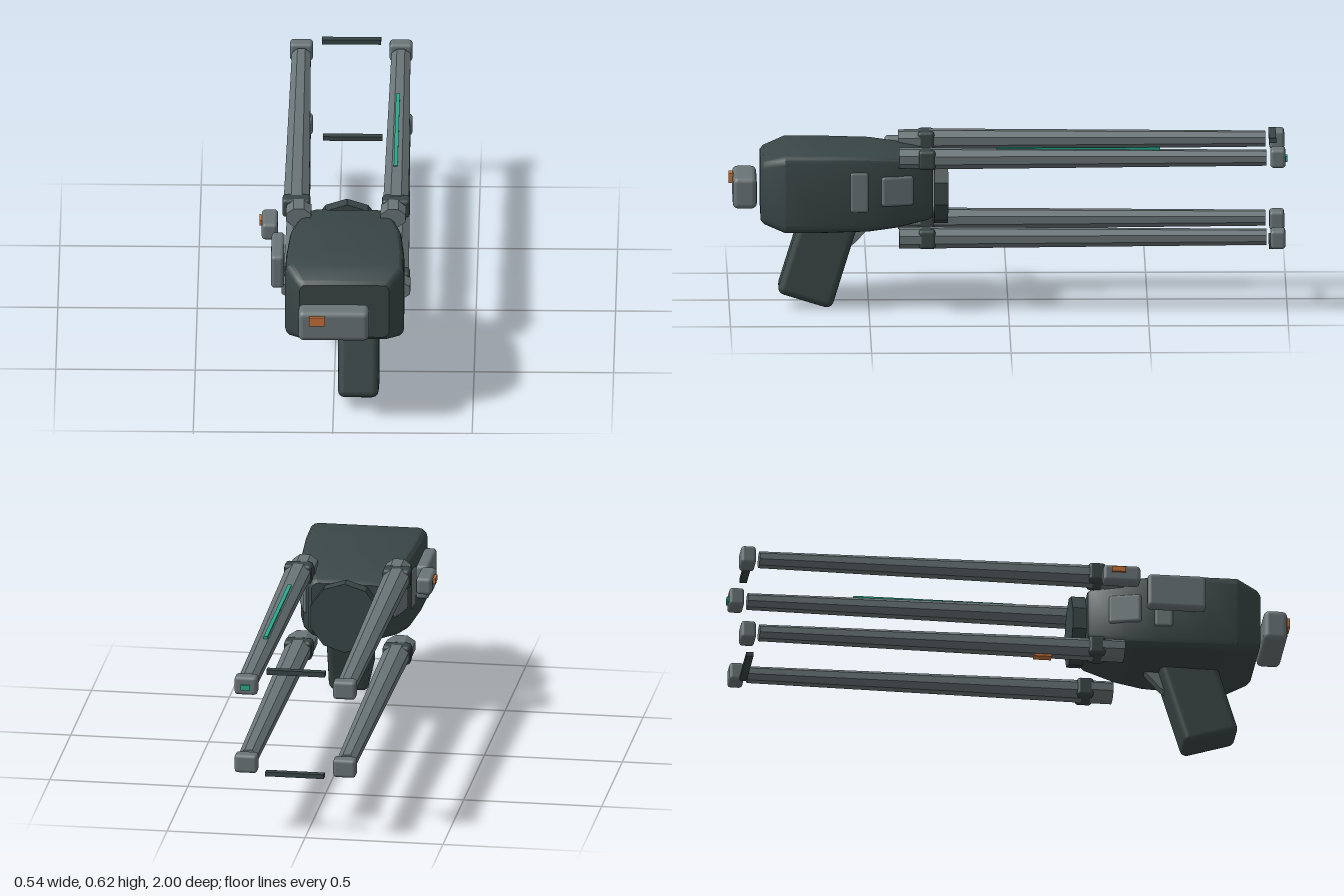
import * as THREE from 'three';
import { toCreasedNormals } from 'three/addons/utils/BufferGeometryUtils.js';
import { RoundedBoxGeometry } from 'three/addons/geometries/RoundedBoxGeometry.js';

const material = (name, color) => {
  const m = new THREE.MeshStandardMaterial({ color });
  m.name = name;
  return m;
};

// Rounded-rectangle outline, counter-clockwise, four points per corner
function outline(halfW, halfH, r) {
  const pts = [];
  for (let c = 0; c < 4; c++) {
    const sx = c === 0 || c === 3 ? 1 : -1;
    const sy = c < 2 ? 1 : -1;
    for (let k = 0; k < 4; k++) {
      const a = (c + k / 3) * Math.PI / 2;
      pts.push([sx * (halfW - r) + r * Math.cos(a), sy * (halfH - r) + r * Math.sin(a)]);
    }
  }
  return pts;
}

// Skin a list of [z, halfWidth, halfHeight, cornerRadius] sections, front to back
function loft(sections) {
  const pos = [], idx = [], n = 16;
  for (const [z, w, h, r] of sections) for (const [x, y] of outline(w, h, r)) pos.push(x, y, z);
  const last = sections.length - 1;
  for (let s = 0; s < last; s++) {
    for (let i = 0; i < n; i++) {
      const a = s * n + i, b = s * n + (i + 1) % n;
      idx.push(a, a + n, b, b, a + n, b + n);
    }
  }
  for (let i = 1; i < n - 1; i++) {
    idx.push(0, i, i + 1);
    idx.push(last * n, last * n + i + 1, last * n + i);
  }
  const g = new THREE.BufferGeometry();
  g.setAttribute('position', new THREE.Float32BufferAttribute(pos, 3));
  g.setIndex(idx);
  return toCreasedNormals(g, 0.5);
}

// Eight-sided bar along z with flat top, wide section w x h at the front
function octBar(w, h, length, taper = 1) {
  const r = 0.5 / Math.cos(Math.PI / 8);
  const g = new THREE.CylinderGeometry(r, r * taper, length, 8);
  g.rotateY(Math.PI / 8).rotateX(Math.PI / 2).scale(w, h, 1);
  return toCreasedNormals(g, 0.5);
}

export function createModel() {
  const dark = material('dark shell', 0x3a4646);
  const grey = material('grey metal', 0x6a7577);
  const orange = material('orange marker', 0xc87439);
  const green = material('green light', 0x2aa88c);
  const model = new THREE.Group();
  model.name = 'railDevice';

  const add = (name, geometry, mat, x, y, z, parent = model) => {
    const mesh = new THREE.Mesh(geometry, mat);
    mesh.name = name;
    mesh.position.set(x, y, z);
    parent.add(mesh);
    return mesh;
  };
  const box = (w, h, d) => new THREE.BoxGeometry(w, h, d);
  const round = (w, h, d, r = 0.012) => new RoundedBoxGeometry(w, h, d, 2, r);

  // Main housing, bevelled at the front and narrowing to the rear
  add('housing', loft([
    [0.888, 0.160, 0.103, 0.02],
    [0.876, 0.173, 0.116, 0.025],
    [0.80, 0.213, 0.143, 0.032],
    [0.68, 0.212, 0.143, 0.032],
    [0.50, 0.200, 0.140, 0.032],
    [0.40, 0.178, 0.130, 0.03],
    [0.285, 0.140, 0.108, 0.03],
    [0.27, 0.128, 0.098, 0.025],
  ]), dark, 0.04, 0.447, 0);

  // Rear disc
  const disc = new THREE.CylinderGeometry(0.13, 0.13, 0.05, 10).rotateX(Math.PI / 2);
  add('rearDisc', toCreasedNormals(disc, 0.5), dark, 0.04, 0.435, 0.24);

  // Raked grip and the small trigger wedge behind it
  const grip = add('grip', round(0.146, 0.34, 0.205, 0.025), dark, 0.089, 0.203, 0.682);
  grip.rotation.x = -0.3;
  const wedge = new THREE.Shape([[-0.57, 0.32], [-0.57, 0.23], [-0.55, 0.245], [-0.49, 0.31], [-0.49, 0.32]]
    .map(([x, y]) => new THREE.Vector2(x, y)));
  const wedgeGeo = new THREE.ExtrudeGeometry(wedge, { depth: 0.04, bevelEnabled: false });
  wedgeGeo.translate(0, 0, -0.02).rotateY(Math.PI / 2);
  add('triggerWedge', wedgeGeo, grey, 0.089, 0, 0);

  // Inset side panels following the taper of the housing
  for (const s of [-1, 1]) {
    const front = add('sidePanel', round(0.03, 0.15, 0.07), grey, 0.04 + s * 0.192, 0.455, 0.535);
    front.rotation.y = s * 0.07;
    const rear = add('rearSidePanel', round(0.03, 0.11, 0.12), grey, 0.04 + s * 0.168, 0.455, 0.40);
    rear.rotation.y = s * 0.27;
  }

  // Four long rails, each with a socket, clamp and end block
  for (const x of [-0.14, 0.217]) {
    for (const y of [0.575, 0.286]) {
      const upper = y > 0.4;
      const side = x > 0 ? 1 : -1;
      const rail = new THREE.Group();
      rail.name = (upper ? 'upper' : 'lower') + (side > 0 ? 'LeftRail' : 'RightRail');
      rail.position.set(x, y, 0);
      model.add(rail);
      add('railBar', octBar(0.092, 0.072, 1.205, 0.74), grey, 0, 0, -0.3225, rail);
      add('railClamp', round(0.1, 0.07, 0.06), dark, 0, 0, 0.292, rail);
      const socketX = upper ? -side * 0.009 : 0;
      add('railSocket', octBar(upper ? 0.09 : 0.104, 0.07, 0.08), grey, socketX, 0, 0.352, rail);
      add('railEndBlock', round(0.082, 0.068, 0.054), grey, 0, upper ? 0.002 : -0.005, -0.966, rail);
    }
  }

  // Cross bars between the rail ends
  add('upperCrossBar', box(0.212, 0.018, 0.026), dark, 0.04, 0.623, -0.948);
  add('lowerCrossBar', box(0.212, 0.016, 0.026), dark, 0.044, 0.237, -0.948);

  // Detached pods at the front and right side
  add('frontPod', round(0.254, 0.115, 0.086, 0.02), grey, 0.003, 0.43, 0.944);
  add('frontMarker', box(0.058, 0.034, 0.014), orange, -0.056, 0.457, 0.993);
  add('rearSidePod', round(0.058, 0.064, 0.135, 0.014), grey, -0.234, 0.538, 0.372);
  add('sidePodMarker', box(0.009, 0.02, 0.05), orange, -0.267, 0.55, 0.36);
  add('longSidePod', round(0.047, 0.128, 0.21, 0.014), grey, -0.203, 0.496, 0.575);

  // Rail markers and lights
  add('railMarker', box(0.033, 0.009, 0.065), orange, -0.143, 0.246, 0.098);
  add('railLight', box(0.014, 0.009, 0.585), green, 0.212, 0.609, -0.25);
  add('tipLight', box(0.034, 0.02, 0.008), green, 0.217, 0.573, -0.996);

  return model;
}
